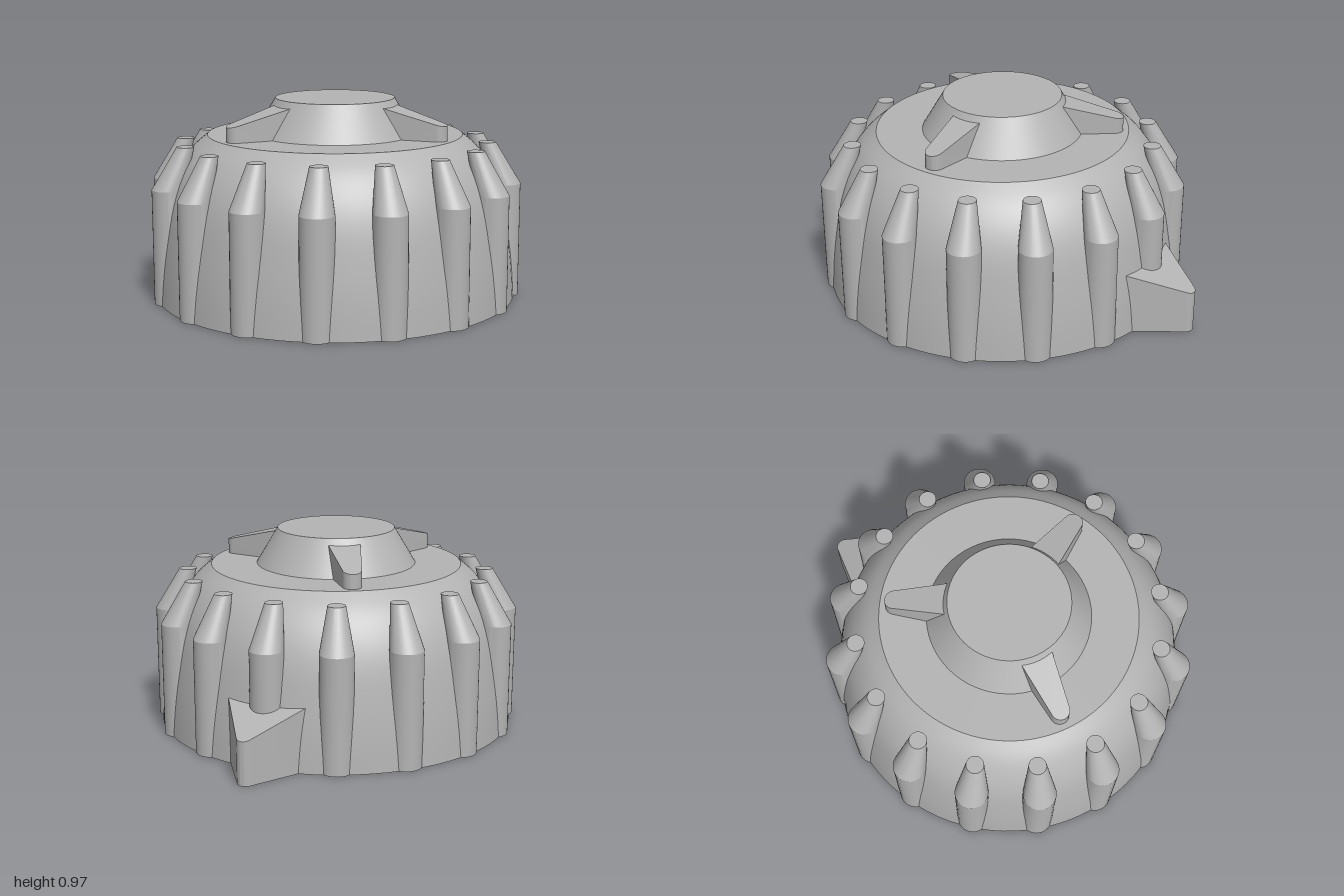
import * as THREE from 'three';
import { toCreasedNormals } from 'three/addons/utils/BufferGeometryUtils.js';

const gray = new THREE.MeshStandardMaterial({ color: 0xb3b3b3 });
gray.name = 'gray';

function part(name, geometry, crease) {
  const mesh = new THREE.Mesh(toCreasedNormals(geometry, crease), gray);
  mesh.name = name;
  return mesh;
}

// Move every vertex of a geometry by a rule.
function reshape(geometry, rule) {
  const pos = geometry.attributes.position;
  const v = new THREE.Vector3();
  for (let i = 0; i < pos.count; i++) {
    rule(v.fromBufferAttribute(pos, i));
    pos.setXYZ(i, v.x, v.y, v.z);
  }
  return geometry;
}

// Upright wedge along +x: wide inner end, rounded outer end, sloping top.
function wedge(x0, half0, x1, half1, bottom, topAt) {
  const shape = new THREE.Shape();
  const tangent = Math.atan2(half0 - half1, x1 - half1 - x0);
  const cx = x1 - half1;
  shape.moveTo(x0, half0);
  shape.lineTo(x0, -half0);
  shape.absarc(cx, 0, half1, -Math.PI / 2 + tangent, Math.PI / 2 - tangent, false);
  shape.closePath();
  const geo = new THREE.ExtrudeGeometry(shape, { depth: 1, bevelEnabled: false, curveSegments: 14 });
  geo.rotateX(-Math.PI / 2);
  return reshape(geo, (v) => { v.y = v.y > 0.5 ? topAt(v.x) : bottom; });
}

export function createModel() {
  const model = new THREE.Group();
  model.name = 'gripKnob';
  const knob = new THREE.Group();
  knob.name = 'knob';
  knob.position.z = 0.095;
  model.add(knob);

  // Domed body with a round recess underneath
  const P = (x, y) => new THREE.Vector2(x, y);
  const side = new THREE.SplineCurve([
    P(0.882, 0), P(0.872, 0.15), P(0.854, 0.3), P(0.822, 0.48),
    P(0.775, 0.61), P(0.705, 0.715), P(0.62, 0.79),
  ]).getPoints(24);
  const profile = [P(0, 0.29), P(0.44, 0.29), P(0.44, 0), ...side, P(0, 0.79)];
  knob.add(part('body', new THREE.LatheGeometry(profile, 96), 0.4));

  // Raised conical cap
  const cap = part('cap', new THREE.CylinderGeometry(0.29, 0.397, 0.18, 64), 0.4);
  cap.position.y = 0.875;
  knob.add(cap);

  // Three sloping fins around the cap
  const finGeo = wedge(0.2, 0.09, 0.592, 0.045, 0.785, (x) => 0.935 - (x - 0.3) * 0.255);
  for (let i = 0; i < 3; i++) {
    const fin = part('fin', finGeo, 0.4);
    fin.rotation.y = (i * Math.PI * 2) / 3;
    knob.add(fin);
  }

  // Sixteen grip ribs: straight below, leaning inward and tapering above
  const rows = { '-1': [0, 0.825, 0.08], 0: [0.555, 0.825, 0.08], 1: [0.755, 0.74, 0.042] };
  const ribGeo = reshape(new THREE.CylinderGeometry(1, 1, 2, 32, 2), (v) => {
    const [y, centre, radius] = rows[Math.round(v.y)];
    v.set(v.x * radius, y, centre + v.z * radius);
  });
  for (let i = 0; i < 16; i++) {
    const rib = part('gripRib', ribGeo, 0.25);
    rib.rotation.y = (i * Math.PI) / 8;
    knob.add(rib);
  }

  // Pointer at the back
  const pointer = part('pointer',
    wedge(0.75, 0.245, 1.095, 0.04, 0, (x) => 0.21 + (1.095 - x) * 0.36), 0.4);
  pointer.rotation.y = Math.PI / 2;
  knob.add(pointer);

  return model;
}
